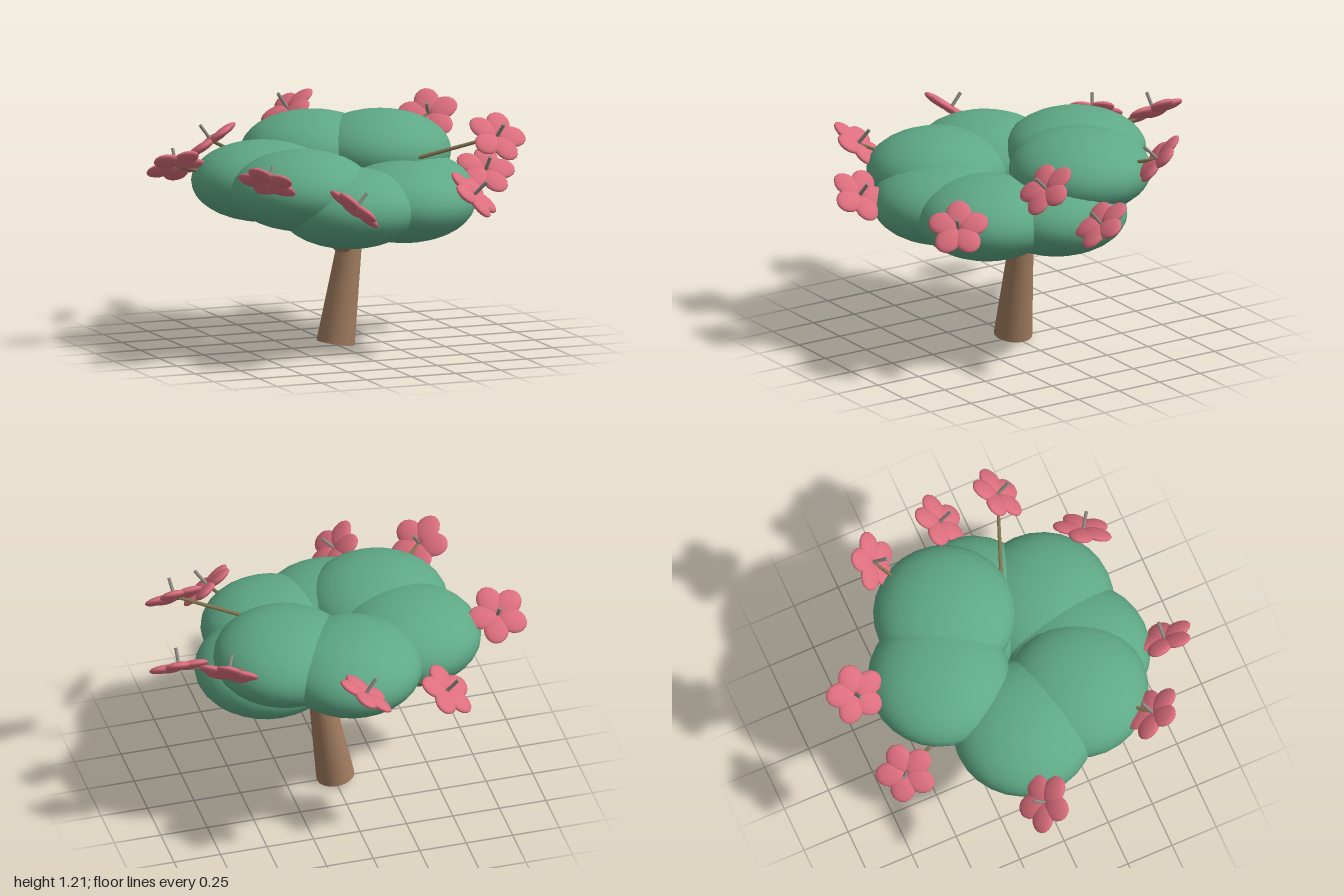
import * as THREE from 'three';

const mat = (name, color) => {
  const m = new THREE.MeshStandardMaterial({ color });
  m.name = name;
  return m;
};
const V = (a) => new THREE.Vector3(a[0], a[1], a[2]);
const UP = new THREE.Vector3(0, 1, 0);

// Tapered round limb between two points
function limb(name, from, to, r0, r1, material, sides = 12) {
  const a = V(from), b = V(to), dir = b.clone().sub(a);
  const mesh = new THREE.Mesh(new THREE.CylinderGeometry(r1, r0, dir.length(), sides), material);
  mesh.position.copy(a).add(b).multiplyScalar(0.5);
  mesh.quaternion.setFromUnitVectors(UP, dir.normalize());
  mesh.name = name;
  return mesh;
}

export function createModel() {
  const tree = new THREE.Group();
  tree.name = 'floweringTree';
  const bark = mat('bark brown', 0xa07b5e);
  const leaf = mat('leaf green', 0x5fa987);
  const pink = mat('petal pink', 0xdc6e7d);
  const twig = mat('twig olive', 0x80744f);
  const grey = mat('stamen grey', 0x8f8d84);

  // Leaning trunk
  tree.add(limb('trunk', [-0.01, 0.02, 0], [0.073, 0.57, 0], 0.1, 0.062, bark, 20));

  // Flattened leaf clumps, each carried by a branch
  const lobe = new THREE.SphereGeometry(1, 28, 18);
  const clumps = [
    [0.01, 0.97, -0.37], [0.32, 0.98, -0.2],
    [-0.39, 0.885, -0.07], [-0.31, 0.885, 0.27],
    [-0.09, 0.795, 0.38], [0.24, 0.795, 0.32], [0.37, 0.795, -0.02],
  ];
  for (const c of clumps) {
    const clump = new THREE.Mesh(lobe, leaf);
    clump.name = 'leafClump';
    clump.position.set(...c);
    clump.scale.set(0.37, 0.207, 0.37);
    tree.add(clump);
    tree.add(limb('branch', [0.045, 0.5, 0], c, 0.036, 0.018, bark));
  }

  // Flowers: centre, then facing direction
  const flowers = [
    [[0.06, 1.11, -0.82], [-0.55, 0.8, 0.05]],
    [[-0.4, 0.985, -0.74], [-0.5, 0.8, -0.33]],
    [[-0.84, 0.98, -0.15], [0.05, 0.8, -0.6]],
    [[-0.62, 0.99, 0.56], [0.45, 0.8, -0.4]],
    [[-0.23, 0.87, 0.8], [0.65, 0.74, -0.05]],
    [[0.49, 0.87, 0.66], [0.55, 0.7, 0.43]],
    [[0.77, 1.1, 0.3], [0.1, 0.72, 0.68]],
    [[0.83, 0.87, 0], [0, 0.77, 0.63]],
    [[0.69, 1.1, -0.44], [-0.35, 0.68, 0.62]],
  ];
  const petalShape = new THREE.SphereGeometry(1, 16, 10);
  for (const [centre, facing] of flowers) {
    const flower = new THREE.Group();
    flower.name = 'flower';
    flower.position.set(...centre);
    flower.quaternion.setFromUnitVectors(UP, V(facing).normalize());
    for (let i = 0; i < 5; i++) {
      const a = (i / 5) * Math.PI * 2;
      const petal = new THREE.Mesh(petalShape, pink);
      petal.name = 'petal';
      petal.position.set(Math.cos(a) * 0.083, 0, Math.sin(a) * 0.083);
      petal.rotation.y = -a;
      petal.scale.set(0.078, 0.022, 0.066);
      flower.add(petal);
    }
    flower.add(limb('stamen', [0, 0, 0], [0, 0.1, 0], 0.009, 0.009, grey, 8));
    tree.add(flower);

    // Stem running back into the leaves
    const [x, y, z] = centre;
    tree.add(limb('stem', [x * 0.12, y - 0.2, z * 0.12], centre, 0.012, 0.009, twig, 8));
  }
  return tree;
}
